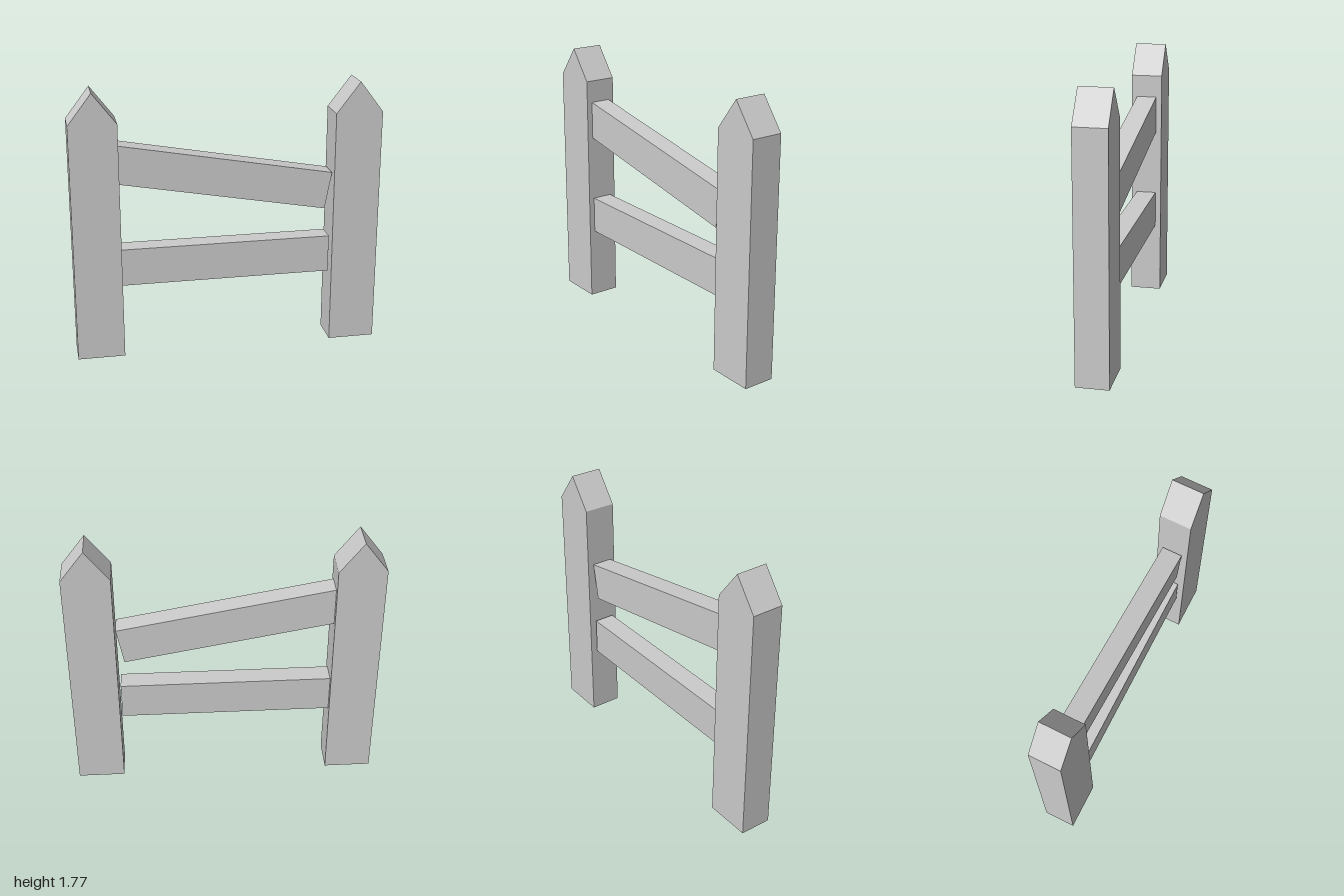
import * as THREE from 'three';

const material = new THREE.MeshStandardMaterial({ color: 0xcccccc, flatShading: true });

// Pointed picket post, extruded through its depth
function makePost(name, x) {
  const w = 0.153, shoulder = 1.57, peak = 1.77, depth = 0.21;
  const shape = new THREE.Shape([
    new THREE.Vector2(-w, 0),
    new THREE.Vector2(w, 0),
    new THREE.Vector2(w, shoulder),
    new THREE.Vector2(0, peak),
    new THREE.Vector2(-w, shoulder),
  ]);
  const geometry = new THREE.ExtrudeGeometry(shape, { depth, bevelEnabled: false });
  geometry.translate(0, 0, -depth / 2);
  const post = new THREE.Mesh(geometry, material);
  post.name = name;
  post.position.x = x;
  return post;
}

// Plank whose top right corner sits at (x, y), tilted about that corner
function makeRail(name, x, y, tilt) {
  const length = 1.405, height = 0.247, depth = 0.135;
  const geometry = new THREE.BoxGeometry(length, height, depth);
  geometry.translate(-length / 2, -height / 2, 0);
  const rail = new THREE.Mesh(geometry, material);
  rail.name = name;
  rail.position.set(x, y, 0);
  rail.rotation.z = tilt;
  return rail;
}

export function createModel() {
  const fence = new THREE.Group();
  fence.name = 'fence';
  fence.add(
    makePost('rightPost', -0.847),
    makePost('leftPost', 0.847),
    makeRail('lowerRail', 0.68, 0.731, 0),
    // The upper rail has slipped down at one end
    makeRail('upperRail', 0.688, 1.17, -0.18),
  );
  return fence;
}
